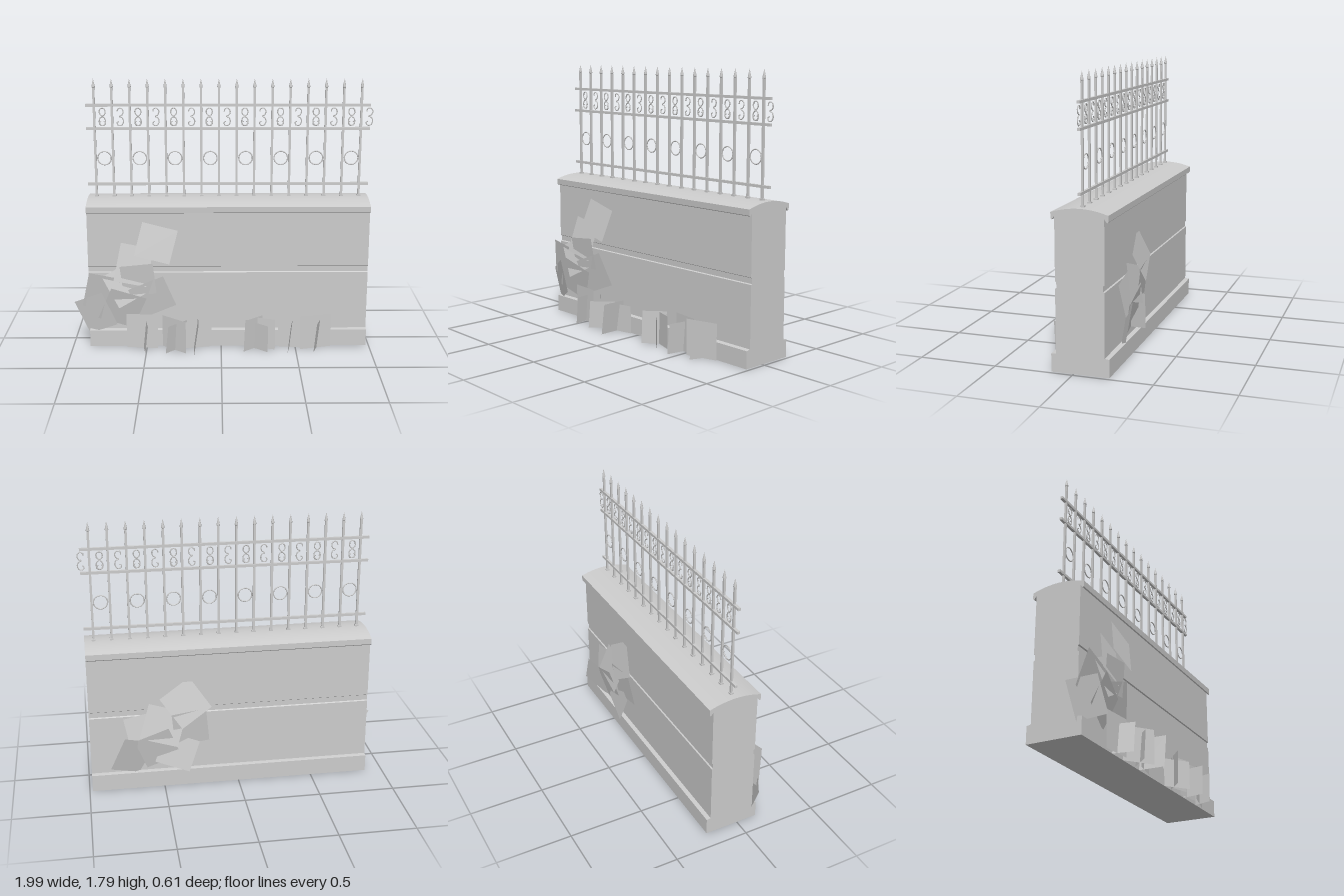
import * as THREE from 'three';
import { toCreasedNormals } from 'three/addons/utils/BufferGeometryUtils.js';

const X0 = -0.885, LENGTH = 1.865, MID = X0 + LENGTH / 2; // wall extent along x
const FENCE_Z = -0.045;

export function createModel() {
  const model = new THREE.Group();
  model.name = 'wallWithRailing';
  const grey = new THREE.MeshStandardMaterial({ color: 0xcccccc, side: THREE.DoubleSide });
  grey.name = 'grey';

  const add = (name, geo, x = 0, y = 0, z = 0, parent = model) => {
    const mesh = new THREE.Mesh(geo, grey);
    mesh.name = name;
    mesh.position.set(x, y, z);
    parent.add(mesh);
    return mesh;
  };
  const group = (name) => {
    const g = new THREE.Group();
    g.name = name;
    model.add(g);
    return g;
  };

  // Sweep a [z, y] profile along the wall
  const sweep = (profile) => {
    const shape = new THREE.Shape(profile.map(([z, y]) => new THREE.Vector2(-z, y)));
    const geo = new THREE.ExtrudeGeometry(shape, { depth: LENGTH, bevelEnabled: false });
    geo.rotateY(Math.PI / 2).translate(X0, 0, 0);
    return toCreasedNormals(geo, 0.5);
  };

  // Wall body with a shallow groove on both faces
  const f = 0.11, b = -0.197, d = 0.008;
  add('wallBody', sweep([
    [f, 0.1], [f, 0.515], [f - d, 0.52], [f - d, 0.555], [f, 0.56], [f, 0.96],
    [b, 0.96], [b, 0.56], [b + d, 0.555], [b + d, 0.52], [b, 0.515], [b, 0.1],
  ]));
  add('plinth', sweep([[0.14, 0], [0.14, 0.113], [f, 0.118], [b, 0.118], [-0.225, 0.113], [-0.225, 0]]));

  // Rounded coping
  const coping = [[f, 0.95], [0.125, 0.93], [0.132, 0.935]];
  for (let i = 0; i <= 16; i++) {
    const t = i / 8 - 1;
    coping.push([-0.044 - t * 0.178, 1.003 - 0.03 * t * t]);
  }
  coping.push([-0.222, 0.935], [-0.214, 0.928], [b, 0.95]);
  add('coping', sweep(coping));

  // Railing: horizontal rails and pointed bars
  const rails = group('rails');
  for (const y of [1.087, 1.46, 1.615])
    add('rail', new THREE.BoxGeometry(LENGTH, 0.017, 0.018), MID, y, FENCE_Z, rails);

  const bars = group('bars');
  const barGeo = new THREE.BoxGeometry(0.015, 0.74, 0.013);
  const footGeo = new THREE.BoxGeometry(0.024, 0.014, 0.024);
  const spikeGeo = toCreasedNormals(new THREE.LatheGeometry(
    [[0, 0], [0.011, 0.008], [0.011, 0.014], [0, 0.065]].map(([x, y]) => new THREE.Vector2(x, y)), 8), 0.8);
  for (let i = 0; i < 16; i++) {
    const x = -0.829 + i * 0.1166;
    add('bar', barGeo, x, 1.36, FENCE_Z, bars);
    add('barFoot', footGeo, x, 1.006, FENCE_Z, bars);
    add('spike', spikeGeo, x, 1.725, FENCE_Z, bars);
  }

  // Rings and scrollwork between the bars
  const ornaments = group('ornaments');
  const scrollPath = new THREE.CatmullRomCurve3([
    [-0.019, 0.036], [-0.014, 0.054], [0.006, 0.058], [0.02, 0.04], [0.012, 0.014], [-0.008, 0.005],
    [0.012, -0.004], [0.021, -0.03], [0.008, -0.054], [-0.012, -0.055], [-0.021, -0.036], [-0.009, -0.029],
  ].map(([x, y]) => new THREE.Vector3(x, y, 0)));
  const scrollGeo = new THREE.TubeGeometry(scrollPath, 36, 0.0038, 5);
  const ringGeo = new THREE.TorusGeometry(0.045, 0.004, 6, 28);
  for (let i = 0; i < 8; i++) {
    const x = -0.77 + i * 0.2333;
    add('ring', ringGeo, x, 1.262, FENCE_Z, ornaments);
    add('scroll', scrollGeo, x + 0.111, 1.537, FENCE_Z, ornaments);
    add('doubleScroll', scrollGeo, x - 0.006, 1.537, FENCE_Z, ornaments);
    add('doubleScroll', scrollGeo, x - 0.006, 1.537, FENCE_Z, ornaments).rotation.y = Math.PI;
  }

  // Flat ivy leaves: x, y, z, width, height, roll, tilt about x, turn about y
  const leaf = (parent, [x, y, z, w, h, roll, tilt, turn]) => {
    const mesh = add('leaf', new THREE.PlaneGeometry(w, h), x, y, z, parent);
    mesh.rotation.set(tilt, turn, roll);
  };
  const frontIvy = group('frontIvy');
  [
    [-0.43, 0.73, 0.145, 0.24, 0.23, -0.25, -0.2, 0.05],
    [-0.58, 0.58, 0.145, 0.22, 0.26, -0.2, -0.18, 0.08],
    [-0.77, 0.38, 0.14, 0.27, 0.26, -0.22, 0.2, 0],
    [-0.84, 0.24, 0.145, 0.24, 0.24, 0.48, 0.12, -0.4],
    [-0.63, 0.45, 0.155, 0.24, 0.24, 0.5, -0.2, 0.1],
    [-0.66, 0.28, 0.16, 0.25, 0.25, -0.4, 0.25, 0.1],
    [-0.46, 0.35, 0.145, 0.25, 0.24, 0.36, 0.16, 0.12],
    [-0.55, 0.48, 0.165, 0.22, 0.22, 0.1, 0.12, 0],
  ].forEach((l) => leaf(frontIvy, l));
  const backIvy = group('backIvy');
  [
    [0.35, 0.6, -0.228, 0.24, 0.25, -0.6, 0.22, 0],
    [0.32, 0.42, -0.225, 0.23, 0.25, -0.1, -0.14, 0.08],
    [0.5, 0.45, -0.23, 0.26, 0.24, 0.3, 0.2, 0.05],
    [0.62, 0.42, -0.222, 0.24, 0.22, -0.2, 0.15, 0],
    [0.7, 0.25, -0.242, 0.25, 0.24, 0.45, -0.22, 0.35],
    [0.54, 0.29, -0.235, 0.24, 0.24, -0.35, -0.2, 0.05],
    [0.41, 0.25, -0.225, 0.24, 0.22, 0.35, 0.16, -0.06],
  ].forEach((l) => leaf(backIvy, l));

  // Grass tufts: upright crossed cards given by x1, z1, x2, z2, height, lean
  const grass = group('grassTufts');
  [
    [-0.53, 0.13, -0.505, 0.27, 0.19, 0.02], [-0.635, 0.16, -0.425, 0.18, 0.24, 0],
    [-0.37, 0.27, -0.25, 0.15, 0.19, 0.02], [-0.395, 0.14, -0.235, 0.27, 0.222, 0],
    [-0.185, 0.135, -0.18, 0.31, 0.21, 0.03], [-0.24, 0.185, -0.065, 0.15, 0.187, 0],
    [0.15, 0.245, 0.27, 0.14, 0.22, 0.01], [0.165, 0.135, 0.31, 0.255, 0.185, 0],
    [0.24, 0.17, 0.36, 0.21, 0.215, 0],
    [0.465, 0.14, 0.44, 0.285, 0.2, 0.02], [0.385, 0.155, 0.57, 0.18, 0.237, 0],
    [0.655, 0.14, 0.615, 0.26, 0.2, 0.02], [0.53, 0.205, 0.74, 0.15, 0.235, 0],
  ].forEach(([x1, z1, x2, z2, h, lean]) => {
    const geo = new THREE.PlaneGeometry(Math.hypot(x2 - x1, z2 - z1), h);
    geo.translate(0, h / 2, 0).rotateY(Math.atan2(z1 - z2, x2 - x1));
    const p = geo.attributes.position;
    for (let i = 0; i < p.count; i++) p.setX(i, p.getX(i) + lean * (p.getY(i) / h));
    geo.computeVertexNormals();
    add('grassCard', geo, (x1 + x2) / 2, 0, (z1 + z2) / 2, grass);
  });

  return model;
}
